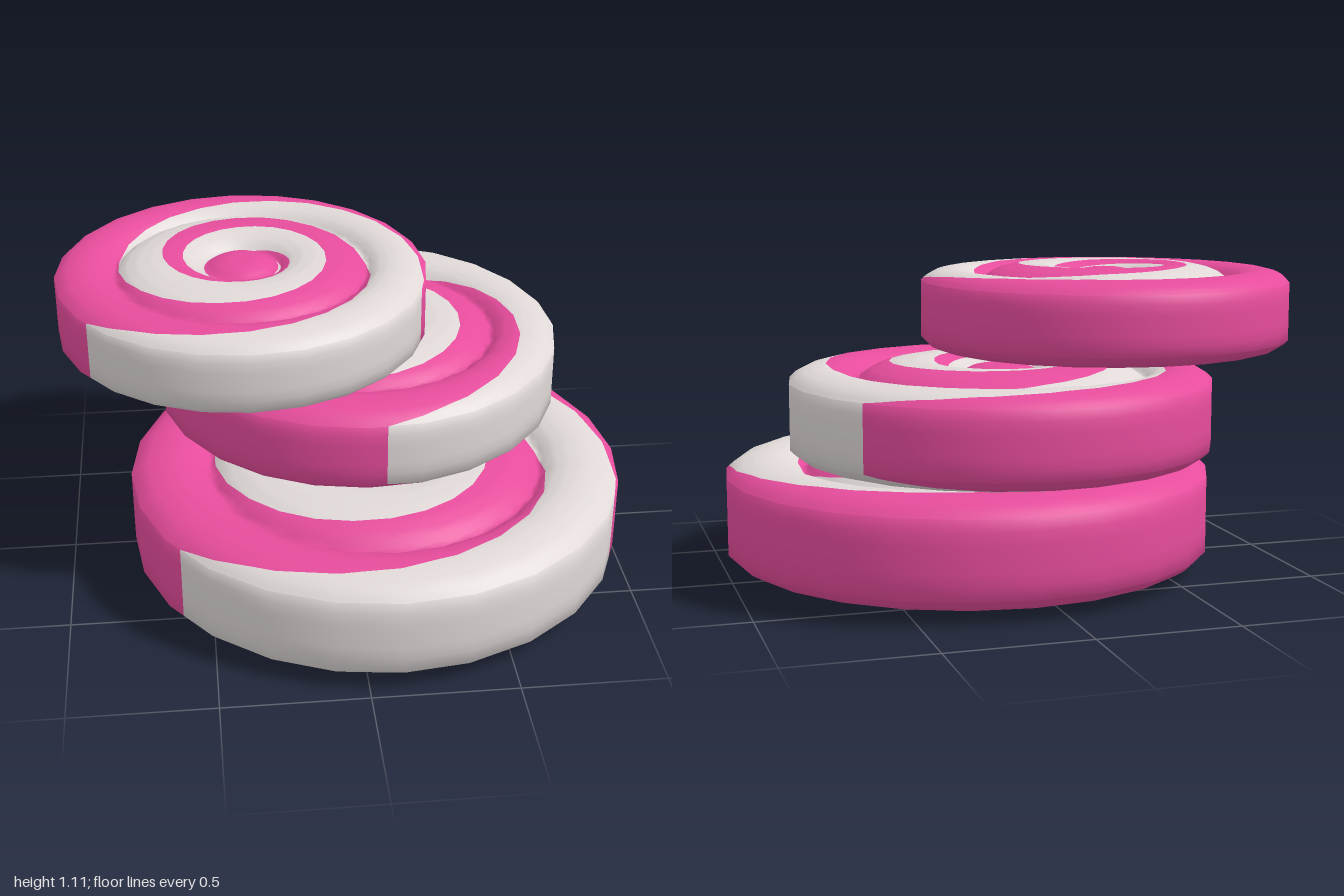
import * as THREE from 'three';

const RAD = Math.PI / 180;
const CORE = 0.2; // radius of the centre knob on a disc of radius 1
const WALL = 0.155; // half height of the straight rim

// Upper half of the disc's cross-section: [radius, height]
const PROFILE = [
  [0, 0.225], [0.08, 0.222], [0.14, 0.208], [0.18, 0.185], [0.205, 0.165], [0.23, 0.19], [0.27, 0.218],
  [0.33, 0.238], [0.4, 0.245], [0.48, 0.24], [0.56, 0.224], [0.62, 0.2], [0.66, 0.17], [0.68, 0.148],
  [0.7, 0.172], [0.74, 0.2], [0.79, 0.215], [0.84, 0.219], [0.89, 0.214], [0.94, 0.2], [0.975, 0.18], [1, WALL],
];

function height(r) {
  for (let i = 1; i < PROFILE.length; i++) {
    const [r0, y0] = PROFILE[i - 1], [r1, y1] = PROFILE[i];
    if (r <= r1) return y0 + (y1 - y0) * (r - r0) / (r1 - r0);
  }
  return WALL;
}

function slope(r) {
  const a = Math.max(0, r - 0.015), b = Math.min(1, r + 0.015);
  return r < 0.001 ? 0 : (height(b) - height(a)) / (b - a);
}

// 24-sided outline
function facet(deg) {
  const d = ((deg % 15) + 15) % 15 - 7.5;
  return Math.cos(7.5 * RAD) / Math.cos(d * RAD);
}

// Grid of columns (falling angle) by rows; at(deg, v) gives [radius, y, radialNormal, yNormal]
function patch(out, start, sweep, rows, flip, at) {
  const cols = Math.round(sweep / 5), base = out.pos.length / 3;
  for (let i = 0; i <= cols; i++) {
    const deg = start - i * 5, c = Math.cos(deg * RAD), s = Math.sin(deg * RAD), k = facet(deg);
    for (let j = 0; j <= rows; j++) {
      const [r, y, nr, ny] = at(i * 5, j / rows);
      const len = Math.hypot(nr, ny);
      out.pos.push(r * k * c, y, r * k * s);
      out.nor.push(nr * c / len, ny / len, nr * s / len);
      if (i === cols || j === rows) continue;
      const a = base + i * (rows + 1) + j, b = a + rows + 1;
      if (flip) out.idx.push(a, a + 1, b, b, a + 1, b + 1);
      else out.idx.push(a, b, a + 1, b, b + 1, a + 1);
    }
  }
}

// Same surface on the upper and lower face, between two radius rules
function faces(out, start, sweep, rows, outer, inner) {
  for (const side of [1, -1]) {
    patch(out, start, sweep, rows, side < 0, (t, v) => {
      const r = outer(t) + (inner(t) - outer(t)) * v;
      return [r, side * height(r), -slope(r), side];
    });
  }
}

function rim(out, start, sweep) {
  patch(out, start, sweep, 6, false, (t, v) => {
    const f = v * 2 - 1;
    return [1, f * WALL, 1, 0.6 * f * f * f];
  });
}

function toGeometry(out) {
  const g = new THREE.BufferGeometry();
  g.setAttribute('position', new THREE.Float32BufferAttribute(out.pos, 3));
  g.setAttribute('normal', new THREE.Float32BufferAttribute(out.nor, 3));
  g.setIndex(out.idx);
  return g;
}

const empty = () => ({ pos: [], nor: [], idx: [] });
const clamp = (r) => Math.min(1, Math.max(CORE, r));

// The two edges of the swirl, winding inward as the angle falls
const edgeA = (t) => clamp(Math.exp(-0.0021 * t)); // starts at 20 degrees
const edgeB = (t) => clamp(Math.exp(-0.0027 * t)); // starts at 145 degrees

export function createModel() {
  const pink = new THREE.MeshStandardMaterial({ color: 0xe64c9c });
  pink.name = 'candyPink';
  const white = new THREE.MeshStandardMaterial({ color: 0xdfd8d7 });
  white.name = 'creamWhite';

  // White arm of the swirl with its share of the rim
  const whiteArm = empty();
  faces(whiteArm, 145, 895, 14, (t) => edgeA(t - 125), (t) => edgeB(t));
  rim(whiteArm, 145, 125);

  // Pink arm of the swirl with its share of the rim
  const pinkArm = empty();
  faces(pinkArm, 380, 835, 14, (t) => edgeB(t - 235), (t) => edgeA(t));
  rim(pinkArm, 380, 235);

  // Centre knob
  const knob = empty();
  faces(knob, 360, 360, 6, () => CORE, () => 0);

  const parts = [
    ['whiteSwirl', toGeometry(whiteArm), white],
    ['pinkSwirl', toGeometry(pinkArm), pink],
    ['centreKnob', toGeometry(knob), pink],
  ];

  // Three stacked candies: name, radius, centre, turn
  const candies = [
    ['bottomCandy', 0.885, [0.115, 0.218, 0.09], 0],
    ['middleCandy', 0.735, [0.085, 0.618, -0.24], 57],
    ['topCandy', 0.658, [-0.342, 0.951, -0.115], 0],
  ];

  const model = new THREE.Group();
  model.name = 'candyStack';
  for (const [name, radius, centre, turn] of candies) {
    const candy = new THREE.Group();
    candy.name = name;
    for (const [part, geometry, material] of parts) {
      const mesh = new THREE.Mesh(geometry, material);
      mesh.name = part;
      candy.add(mesh);
    }
    candy.scale.setScalar(radius);
    candy.position.set(...centre);
    candy.rotation.y = turn * RAD;
    model.add(candy);
  }
  return model;
}
